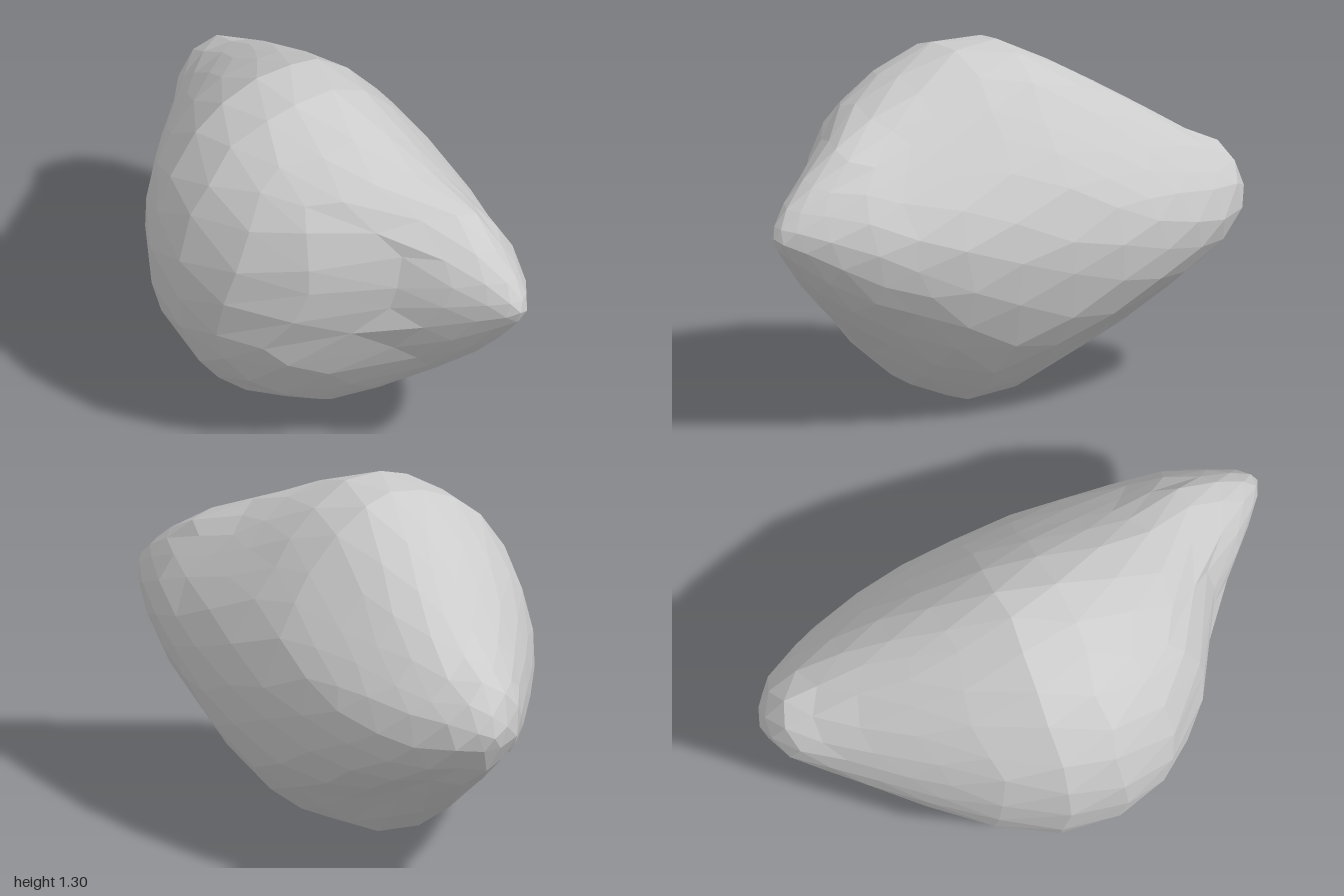
import * as THREE from 'three';

// Outline stations along z: [z, left x, right x, bottom y, top y]
const STATIONS = [
  [-1.0, 0.15, 0.21, 0.64, 0.70],
  [-0.94, 0.04, 0.31, 0.53, 0.83],
  [-0.8, -0.07, 0.41, 0.41, 0.90],
  [-0.55, -0.28, 0.50, 0.24, 1.05],
  [-0.25, -0.50, 0.56, 0.06, 1.22],
  [-0.12, -0.55, 0.57, 0.01, 1.285],
  [0.0, -0.575, 0.575, 0.0, 1.29],
  [0.15, -0.56, 0.575, 0.0, 1.285],
  [0.3, -0.51, 0.57, 0.08, 1.22],
  [0.42, -0.42, 0.56, 0.17, 1.165],
  [0.52, -0.31, 0.54, 0.25, 1.12],
  [0.67, -0.03, 0.515, 0.38, 1.05],
  [0.8, 0.09, 0.475, 0.50, 0.97],
  [0.92, 0.22, 0.42, 0.64, 0.88],
  [1.0, 0.32, 0.37, 0.74, 0.79],
];

// Smooth curve through the stations
function sectionAt(z) {
  let i = 0;
  while (i < STATIONS.length - 2 && STATIONS[i + 1][0] < z) i++;
  const a = STATIONS[i], b = STATIONS[i + 1];
  const before = STATIONS[Math.max(i - 1, 0)];
  const after = STATIONS[Math.min(i + 2, STATIONS.length - 1)];
  const h = b[0] - a[0];
  const t = THREE.MathUtils.clamp((z - a[0]) / h, 0, 1);
  const ease = t * t * (3 - 2 * t);
  return a.map((v, k) => {
    const slopeA = (b[k] - before[k]) / (b[0] - before[0]);
    const slopeB = (after[k] - v) / (after[0] - a[0]);
    return v + (b[k] - v) * ease
      + h * t * (1 - t) * ((1 - t) * slopeA - t * slopeB);
  });
}

// Repeatable noise, so shared corners move together
function noise(p, seed) {
  const [x, y, z] = p.toArray().map((v) => Math.round(v * 1000));
  const s = Math.sin(x * 0.129 + y * 0.782 + z * 0.377 + seed * 17.3) * 4375.85;
  return s - Math.floor(s) - 0.5;
}

// Bump of height 1 at the given angle, fading to 0 at the given distance
function bump(angle, centre, reach) {
  const d = Math.min(1, Math.abs(angle - centre) / reach);
  return Math.cos(d * Math.PI / 2) ** 2;
}

// Pulls a point of the unit sphere onto the stone's cross-section at its z
function shapePoint(p) {
  const dir = p.clone();
  if (Math.abs(p.z) < 0.9) {
    dir.x += noise(p, 1) * 0.07;
    dir.y += noise(p, 2) * 0.07;
    dir.z += noise(p, 3) * 0.04;
    dir.normalize();
  }
  const angle = Math.atan2(dir.y, dir.x);
  const [z, left, right, bottom, top] = sectionAt(dir.z);

  // Worn shoulder above, and two flat flanks meeting in a keel under the back
  const back = THREE.MathUtils.smoothstep(-z, -0.1, 0.35);
  const flanks = bump(angle, -1.0, 0.6) + bump(angle, -2.14, 0.6);
  const worn = 0.1 * bump(angle, 0.73, 0.8) + (0.02 + 0.1 * back) * flanks;
  const r = Math.abs(dir.z) > 0.9999 ? 0 : 1.012 - worn;
  return new THREE.Vector3(
    (left + right) / 2 + (right - left) / 2 * r * Math.cos(angle),
    Math.max(0, (bottom + top) / 2 + (top - bottom) / 2 * r * Math.sin(angle)),
    z
  );
}

export function createModel() {
  const group = new THREE.Group();
  group.name = 'rock';

  // Faceted ball with a corner on each end of the z axis
  const geometry = new THREE.IcosahedronGeometry(1, 4);
  geometry.rotateX(Math.atan(2 / (1 + Math.sqrt(5))));
  const pos = geometry.attributes.position;
  const p = new THREE.Vector3();
  for (let i = 0; i < pos.count; i++) {
    const q = shapePoint(p.fromBufferAttribute(pos, i));
    pos.setXYZ(i, q.x, q.y, q.z);
  }
  geometry.computeVertexNormals();

  const stone = new THREE.Mesh(
    geometry,
    new THREE.MeshStandardMaterial({ color: 0xcccccc, flatShading: true })
  );
  stone.name = 'stone';
  group.add(stone);
  return group;
}
